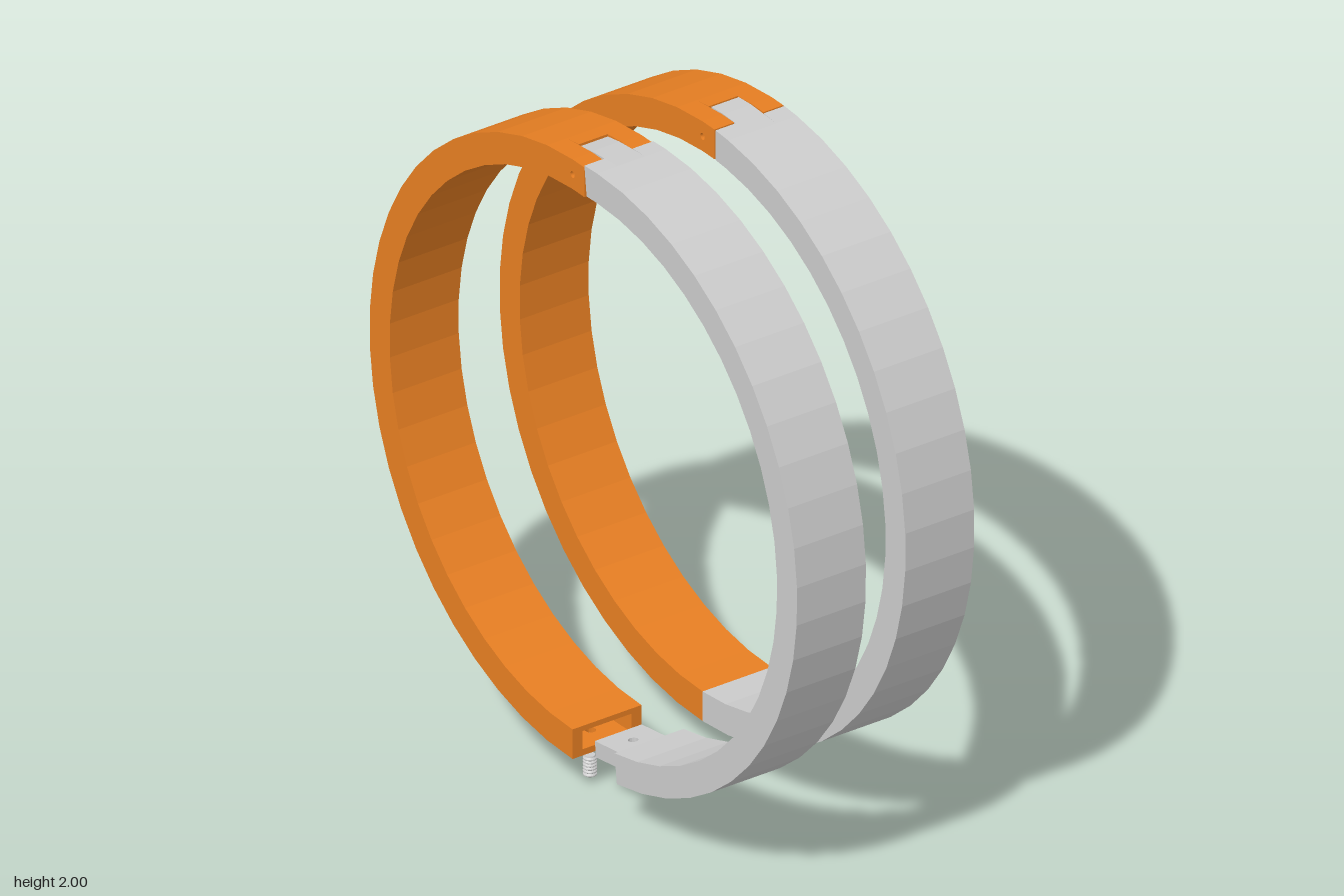
import * as THREE from 'three';

const R = 0.9375, r = 0.845;          // outer and inner ring radius
const HINGE = 0.89;                   // hinge pin height above ring centre
const HALF = 0.1175;                  // half of the band width
const SOCKET = { x: -0.155, z: 0.083, low: -0.918, high: -0.861 };
const SCREW_X = -0.076;
const STEP = Math.PI / 25;

const grey = new THREE.MeshStandardMaterial({ color: 0xcccccc, flatShading: true });
const orange = new THREE.MeshStandardMaterial({ color: 0xe67e22, flatShading: true });

function add(parent, name, geometry, material) {
  const mesh = new THREE.Mesh(geometry, material);
  mesh.name = name;
  parent.add(mesh);
  return mesh;
}

function circleHole(x, y, radius) {
  const hole = new THREE.Path();
  hole.absarc(x, y, radius, 0, Math.PI * 2, true);
  return hole;
}

// Points of a half circle on one side, from x = top cut down to x = bottom cut
function halfCircle(radius, side, topX, bottomX) {
  const y = x => Math.sqrt(radius * radius - x * x);
  const points = [new THREE.Vector2(topX, y(topX))];
  for (let i = -2; i <= 27; i++) {
    const a = Math.PI / 2 - side * i * STEP;
    const px = radius * Math.cos(a), py = radius * Math.sin(a);
    const cut = py > 0 ? topX : bottomX;
    if (side * (px - cut) > 0.004) points.push(new THREE.Vector2(px, py));
  }
  points.push(new THREE.Vector2(bottomX, -y(bottomX)));
  return points;
}

// One layer of a half band, between two z planes
function layer(side, topX, z0, z1, { socket = false, pinHole = false } = {}) {
  const outer = halfCircle(R, side, topX, socket ? SOCKET.x : 0);
  const inner = halfCircle(r, side, topX, 0).reverse();
  const notch = socket
    ? [new THREE.Vector2(SOCKET.x, SOCKET.high), new THREE.Vector2(0, SOCKET.high)] : [];
  const shape = new THREE.Shape([...outer, ...notch, ...inner]);
  if (pinHole) shape.holes.push(circleHole(0, HINGE, 0.01));
  return new THREE.ExtrudeGeometry(shape, { depth: z1 - z0, bevelEnabled: false, curveSegments: 8 })
    .translate(0, 0, z0);
}

// Horizontal plate reaching from x0 to 0, with a screw hole
function drilledPlate(x0, halfZ, low, high) {
  const shape = new THREE.Shape([
    new THREE.Vector2(x0, -halfZ), new THREE.Vector2(0, -halfZ),
    new THREE.Vector2(0, halfZ), new THREE.Vector2(x0, halfZ)]);
  shape.holes.push(circleHole(SCREW_X, 0, 0.015));
  return new THREE.ExtrudeGeometry(shape, { depth: high - low, bevelEnabled: false, curveSegments: 8 })
    .rotateX(-Math.PI / 2).translate(0, low, 0);
}

// Half with hinge fork at the top and a hollow socket at the bottom
function socketHalf() {
  const half = new THREE.Group();
  half.name = 'socketHalf';
  const fork = 0.055, slot = -0.062, slotZ = 0.05;
  for (const s of [-1, 1]) {
    const span = (a, b) => (s > 0 ? [a, b] : [-b, -a]);
    add(half, 'sideWall', layer(-1, fork, ...span(SOCKET.z, HALF), { pinHole: true }), orange);
    add(half, 'hingeFork', layer(-1, fork, ...span(slotZ, SOCKET.z), { socket: true, pinHole: true }), orange);
  }
  add(half, 'middleBand', layer(-1, slot, -slotZ, slotZ, { socket: true }), orange);

  // Socket floor, its underside bent to follow the ring
  const floor = drilledPlate(SOCKET.x, SOCKET.z, -R, SOCKET.low);
  const p = floor.attributes.position;
  for (let i = 0; i < p.count; i++) {
    if (p.getY(i) < -R + 0.001) p.setY(i, -Math.sqrt(R * R - p.getX(i) ** 2));
  }
  add(half, 'socketFloor', floor, orange);
  return half;
}

// Half with hinge tab at the top and a tongue at the bottom
function tongueHalf() {
  const half = new THREE.Group();
  half.name = 'tongueHalf';
  const tabZ = 0.047;
  add(half, 'frontBand', layer(1, 0.06, tabZ, HALF), grey);
  add(half, 'backBand', layer(1, 0.06, -HALF, -tabZ), grey);
  add(half, 'hingeTab', layer(1, -0.055, -tabZ, tabZ, { pinHole: true }), grey);
  add(half, 'tongue', drilledPlate(-0.145, 0.08, -0.914, -0.865), grey);
  return half;
}

// Clamp ring, the tongue half swung open around the hinge
function clampRing(name, x, z, opening) {
  const ring = new THREE.Group();
  ring.name = name;
  const swing = new THREE.Group();
  swing.name = 'hingeSwing';
  swing.position.y = HINGE;
  swing.rotation.z = opening;
  const tongue = tongueHalf();
  tongue.position.y = -HINGE;
  swing.add(tongue);
  ring.add(socketHalf(), swing);
  ring.position.set(x, 1.057, z);
  return ring;
}

// Headless screw with thread ridges and a hexagonal-style recess below
function setScrew() {
  const profile = [[0, 0.02], [0.009, 0.02], [0.009, 0], [0.016, 0]];
  const turns = 6, pitch = 0.01;
  for (let i = 0; i < turns; i++) {
    profile.push([0.02, 0.003 + i * pitch], [0.02, 0.006 + i * pitch], [0.016, 0.01 + i * pitch]);
  }
  profile.push([0.015, 0.064], [0, 0.064]);
  return new THREE.LatheGeometry(profile.map(([a, b]) => new THREE.Vector2(a, b)), 18);
}

export function createModel() {
  const model = new THREE.Group();
  model.name = 'hingedClampRings';
  model.add(clampRing('openRing', -0.052, 0.208, 0.112));
  model.add(clampRing('closedRing', -0.015, -0.208, 0));
  add(model, 'setScrew', setScrew(), grey).position.set(-0.128, 0, 0.21);
  return model;
}
